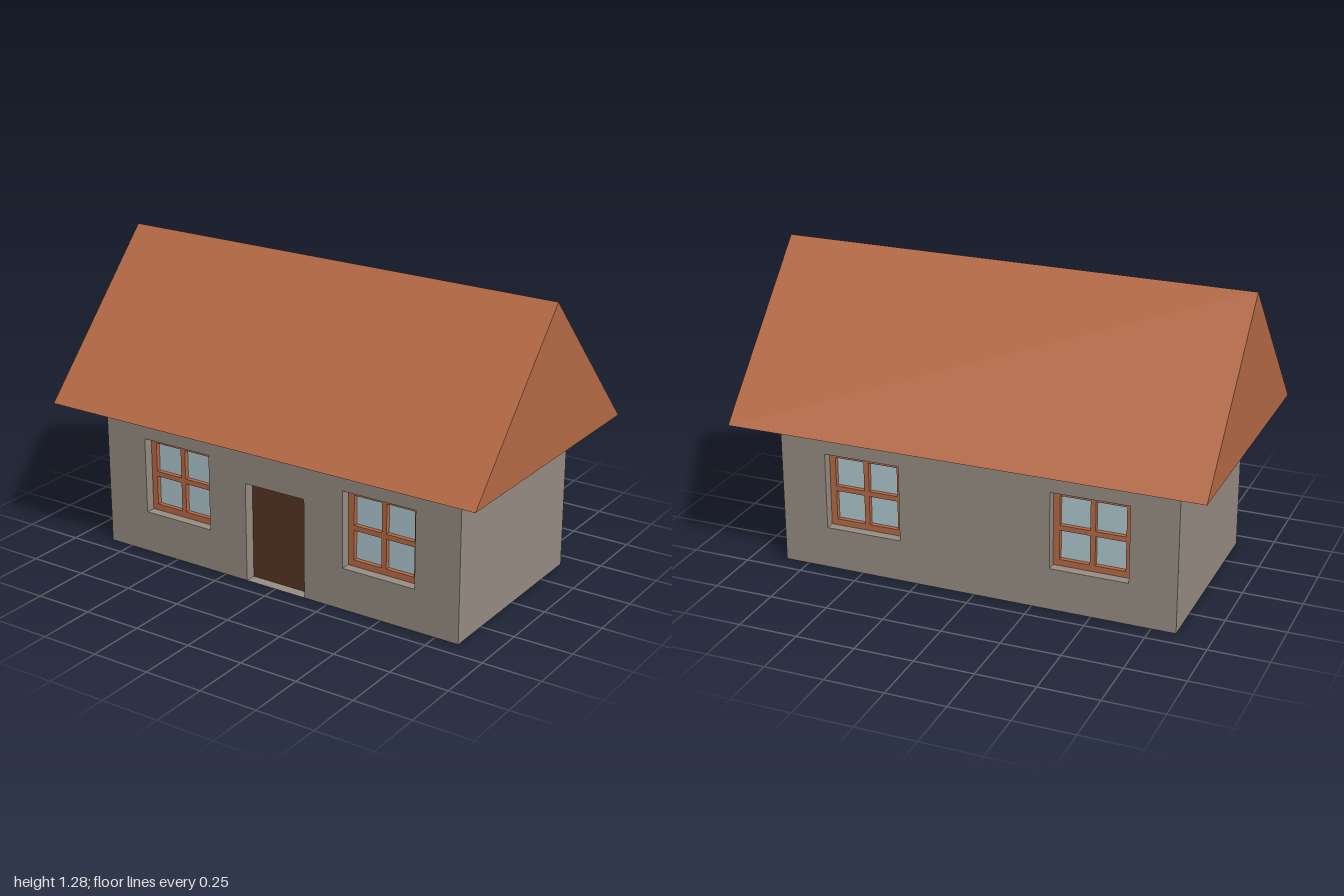
import * as THREE from 'three';

const W = 0.853, D = 0.425, H = 0.645; // half width, half depth, height of the walls
const WIN = { x: 0.49, y: 0.345, size: 0.33, depth: 0.07 };
const DOOR = { w: 0.284, h: 0.43, depth: 0.047 };

const mat = (name, color, side = THREE.FrontSide) => {
  const m = new THREE.MeshStandardMaterial({ color, side });
  m.name = name;
  return m;
};

// Rectangle outline, used for walls, openings and panes
function rect(target, x0, y0, x1, y1) {
  target.moveTo(x0, y0);
  target.lineTo(x1, y0);
  target.lineTo(x1, y1);
  target.lineTo(x0, y1);
  target.closePath();
  return target;
}

// First `count` sides of a box, in the order +x, -x, +y, -y, +z, -z
function openBox(w, h, d, count) {
  const g = new THREE.BoxGeometry(w, h, d);
  g.setIndex(Array.from(g.index.array).slice(0, count * 6));
  g.clearGroups();
  return g;
}

export function createModel() {
  const model = new THREE.Group();
  model.name = 'cottage';
  const plaster = mat('plaster', 0x978d83, THREE.DoubleSide);
  const terracotta = mat('terracotta', 0xb66a45);
  const darkWood = mat('darkWood', 0x583523, THREE.DoubleSide);
  const glass = mat('glass', 0xaec8cf, THREE.DoubleSide);

  const add = (parent, name, geo, material, x = 0, y = 0, z = 0) => {
    const m = new THREE.Mesh(geo, material);
    m.name = name;
    m.position.set(x, y, z);
    parent.add(m);
    return m;
  };

  // Window: recess, frame with four openings, glass
  const s = WIN.size / 2, border = 0.027, bar = 0.011;
  const frameShape = rect(new THREE.Shape(), -s, -s, s, s);
  for (const x of [-1, 1]) for (const y of [-1, 1]) {
    frameShape.holes.push(rect(new THREE.Path(), x * bar, y * bar, x * (s - border), y * (s - border)));
  }
  const frameGeo = new THREE.ExtrudeGeometry(frameShape, { depth: 0.027, bevelEnabled: false });
  const recessGeo = openBox(WIN.size, WIN.size, WIN.depth, 4);
  const paneGeo = new THREE.PlaneGeometry(WIN.size - 0.02, WIN.size - 0.02);
  const backGeo = new THREE.PlaneGeometry(WIN.size, WIN.size);

  function addWindow(parent, x) {
    const g = new THREE.Group();
    g.name = 'window';
    g.position.set(x, WIN.y, D);
    parent.add(g);
    add(g, 'windowRecess', recessGeo, plaster, 0, 0, -WIN.depth / 2);
    add(g, 'windowBack', backGeo, plaster, 0, 0, -WIN.depth);
    add(g, 'windowFrame', frameGeo, terracotta, 0, 0, -WIN.depth + 0.002);
    add(g, 'windowGlass', paneGeo, glass, 0, 0, -WIN.depth + 0.01);
  }

  // Long walls, the front one with a doorway
  for (const front of [true, false]) {
    const side = new THREE.Group();
    side.name = front ? 'frontSide' : 'backSide';
    if (!front) side.rotation.y = Math.PI;
    model.add(side);

    const shape = new THREE.Shape();
    shape.moveTo(-W, 0);
    if (front) {
      shape.lineTo(-DOOR.w / 2, 0);
      shape.lineTo(-DOOR.w / 2, DOOR.h);
      shape.lineTo(DOOR.w / 2, DOOR.h);
      shape.lineTo(DOOR.w / 2, 0);
    }
    shape.lineTo(W, 0);
    shape.lineTo(W, H);
    shape.lineTo(-W, H);
    shape.closePath();
    for (const x of [-WIN.x, WIN.x]) {
      shape.holes.push(rect(new THREE.Path(), x - s, WIN.y - s, x + s, WIN.y + s));
      addWindow(side, x);
    }
    add(side, 'longWall', new THREE.ShapeGeometry(shape), plaster, 0, 0, D);

    if (front) {
      add(side, 'doorRecess', openBox(DOOR.w, DOOR.h, DOOR.depth, 4), plaster, 0, DOOR.h / 2, D - DOOR.depth / 2);
      add(side, 'door', new THREE.PlaneGeometry(DOOR.w, DOOR.h), darkWood, 0, DOOR.h / 2, D - DOOR.depth);
    }
  }

  // End walls; the house is open underneath
  add(model, 'endWalls', openBox(W * 2, H, D * 2, 2), plaster, 0, H / 2, 0);

  // Solid gabled roof with overhanging eaves
  const gable = new THREE.Shape();
  gable.moveTo(-0.587, H);
  gable.lineTo(0.587, H);
  gable.lineTo(0, 1.28);
  gable.closePath();
  const roof = new THREE.ExtrudeGeometry(gable, { depth: 2, bevelEnabled: false });
  roof.translate(0, 0, -1);
  roof.rotateY(Math.PI / 2);
  add(model, 'roof', roof, terracotta);

  return model;
}
